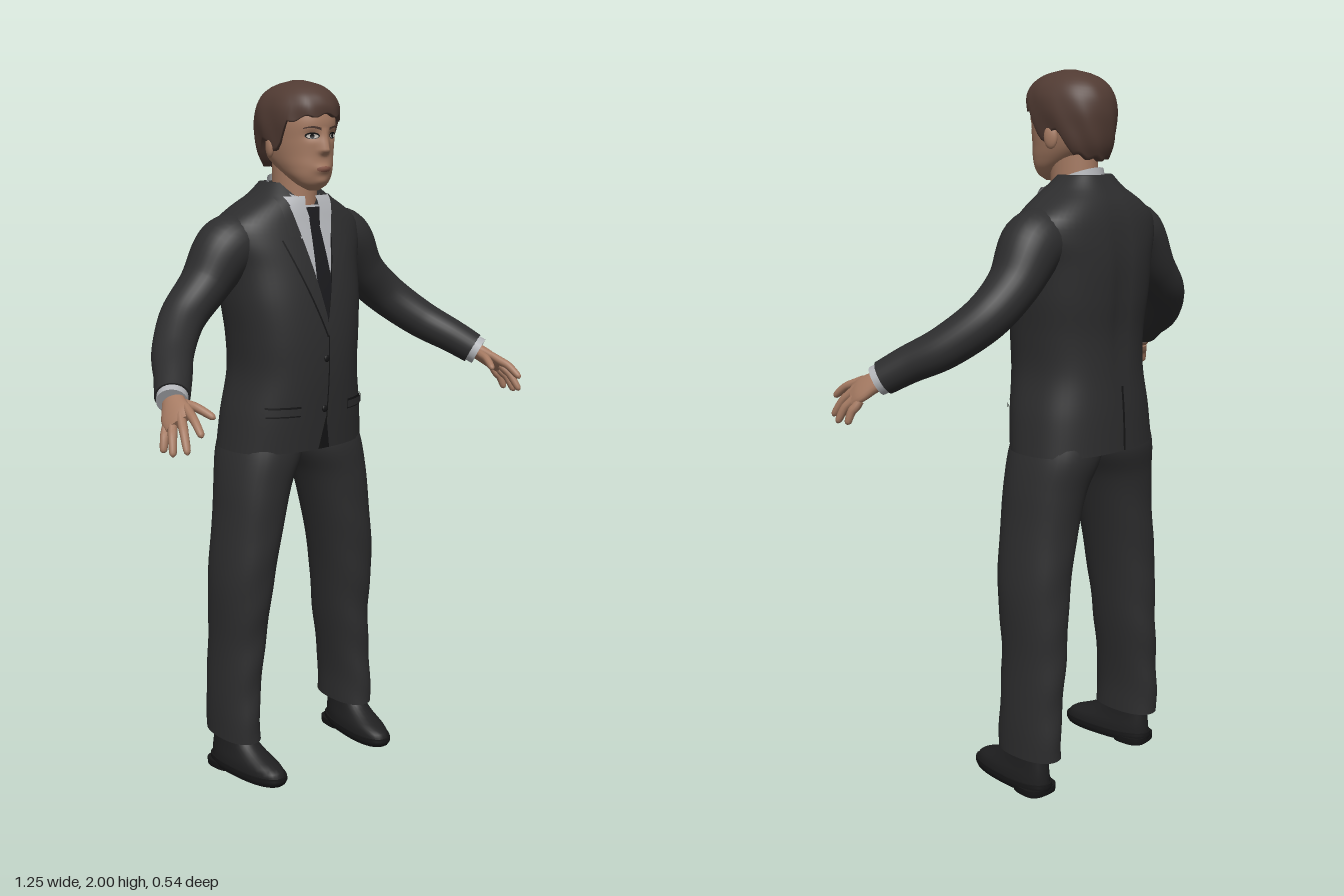
import * as THREE from 'three';

const { sin, cos, abs, exp, sign, pow, PI, max, min } = Math;
const lerp = (a, b, t) => a + (b - a) * t;
const paint = (name, color, side = THREE.FrontSide) =>
  Object.assign(new THREE.MeshStandardMaterial({ color, side }), { name });

// Smooth interpolation through rows whose first value is the key
function spline(rows) {
  const n = rows[0].length - 1;
  const f = new THREE.CubicInterpolant(rows.map(r => r[0]), rows.flatMap(r => r.slice(1)), n);
  return t => [...f.evaluate(t)];
}

// Surface from fn(u, v); wrapped surfaces are closed around u and capped at both ends
function grid(fn, nu, nv, wrap = true) {
  const pos = [], idx = [], cols = wrap ? nu : nu + 1;
  for (let j = 0; j <= nv; j++) for (let i = 0; i < cols; i++) pos.push(...fn(i / nu, j / nv));
  for (let j = 0; j < nv; j++) for (let i = 0; i < nu; i++) {
    const a = j * cols + i, b = j * cols + (i + 1) % cols;
    idx.push(a, b, a + cols, b, b + cols, a + cols);
  }
  if (wrap) for (const end of [0, 1]) {
    const base = pos.length / 3, mid = [0, 0, 0];
    for (let i = 0; i < nu; i++) {
      const p = fn(i / nu, end);
      pos.push(...p);
      p.forEach((c, k) => { mid[k] += c / nu; });
      const a = base + i, b = base + (i + 1) % nu;
      idx.push(base + nu, end ? a : b, end ? b : a);
    }
    pos.push(...mid);
  }
  const g = new THREE.BufferGeometry();
  g.setAttribute('position', new THREE.Float32BufferAttribute(pos, 3));
  g.setIndex(idx);
  g.computeVertexNormals();
  return g;
}

// Upright form from rows [y, centreX, halfWidth, zFront, zBack]; bump(x, y, facing) adds depth
function column(rows, n = 2.3, bump = () => 0) {
  const at = spline(rows), y0 = rows[0][0], y1 = rows[rows.length - 1][0];
  const sq = c => sign(c) * pow(abs(c), 2 / n);
  const point = (th, y) => {
    const [cx, hw, zf, zb] = at(y), s = -sin(th), x = cx + hw * sq(cos(th));
    return [x, y, (zf + zb) / 2 + (zf - zb) / 2 * sq(s) + bump(x, y, s)];
  };
  const faceZ = (x, y, side) => {
    const [cx, hw, zf, zb] = at(y), k = min(1, abs(x - cx) / hw);
    return (zf + zb) / 2 + side * (zf - zb) / 2 * pow(1 - pow(k, n), 1 / n) + bump(x, y, side);
  };
  const solid = (nu, nv) => grid((u, v) => point(u * 2 * PI, lerp(y0, y1, v)), nu, nv);
  return { point, faceZ, solid };
}

// Thin panel lying on a column between two edge curves
const panel = (col, y0, y1, left, right, off, side = 1) => grid((u, v) => {
  const y = lerp(y0, y1, v), x = side > 0 ? lerp(left(y), right(y), u) : lerp(right(y), left(y), u);
  return [x, y, col.faceZ(x, y, side) + side * off];
}, 10, 16, false);
const oval = (col, cx, cy, w, h, off) => {
  const half = y => w * Math.sqrt(max(0, 1 - ((y - cy) / h) ** 2));
  return panel(col, cy - h, cy + h, y => cx - half(y), y => cx + half(y), off);
};

// Limb through rows [x, y, z, width, thickness], widest along the across direction
function limb(rows, across, nu = 20, nv = 24) {
  const at = spline(rows.map((r, i) => [i, ...r])), last = rows.length - 1;
  const vec = t => new THREE.Vector3(...at(t).slice(0, 3));
  return grid((u, v) => {
    const t = v * last, [, , , a, b] = at(t);
    const T = vec(min(last, t + 0.02)).sub(vec(max(0, t - 0.02))).normalize();
    const U = new THREE.Vector3(...across).addScaledVector(T, -T.dot(new THREE.Vector3(...across))).normalize();
    const V = T.clone().cross(U);
    return vec(t).addScaledVector(U, a * cos(u * 2 * PI)).addScaledVector(V, b * sin(u * 2 * PI)).toArray();
  }, nu, nv);
}

function mirrored(g) {
  const m = g.clone().scale(-1, 1, 1), ix = m.index.array;
  for (let i = 0; i < ix.length; i += 3) [ix[i], ix[i + 1]] = [ix[i + 1], ix[i]];
  m.computeVertexNormals();
  return m;
}

export function createModel() {
  const root = new THREE.Group();
  root.name = 'manInSuit';
  const suit = paint('suitCloth', 0x2d2d2e), seam = paint('darkSeam', 0x151516);
  const shirt = paint('shirtCloth', 0xb2b4b8, THREE.DoubleSide), tie = paint('tieCloth', 0x1a1a1d);
  const skin = paint('skin', 0xa67b63), hair = paint('hair', 0x513b33);
  const leather = paint('shoeLeather', 0x1f1f20), white = paint('eyeWhite', 0xc8c0b8);
  const lip = paint('lips', 0x8a5a4b);
  const add = (name, g, mat) => {
    const m = new THREE.Mesh(g, mat);
    m.name = name;
    root.add(m);
  };
  const pair = (name, g, mat) => { add(name + 'Left', g, mat); add(name + 'Right', mirrored(g), mat); };

  // Jacket body with a shallow crease down the spine
  const torso = column([
    [0.98, 0, 0.225, 0.045, -0.266], [1.08, 0, 0.212, 0.056, -0.262], [1.2, 0, 0.19, 0.066, -0.254],
    [1.3, 0, 0.195, 0.066, -0.252], [1.4, 0, 0.207, 0.056, -0.26], [1.5, 0, 0.215, 0.036, -0.262],
    [1.57, 0, 0.232, 0.016, -0.254], [1.62, 0, 0.222, 0, -0.243], [1.66, 0, 0.168, -0.012, -0.227],
    [1.69, 0, 0.115, -0.025, -0.207], [1.725, 0, 0.075, -0.055, -0.185]], 2.4,
  (x, y, s) => s < 0 ? 0.011 * exp(-((x / 0.025) ** 2)) * exp(-(((y - 1.42) / 0.2) ** 2)) : 0);
  add('jacketBody', torso.solid(56, 56), suit);

  // Shirt front, tie, lapels and collar flaps
  const vee = y => max(0, (y - 1.35) * 0.23);
  add('shirtFront', panel(torso, 1.35, 1.665, y => -vee(y), vee, 0.003), shirt);
  const tieHalf = y => min(vee(y), lerp(0.03, 0.016, (y - 1.4) / 0.22));
  add('tieBlade', panel(torso, 1.35, 1.63, y => -tieHalf(y), tieHalf, 0.007), tie);
  add('tieKnot', panel(torso, 1.61, 1.66, y => -lerp(0.013, 0.024, (y - 1.61) / 0.05),
    y => lerp(0.013, 0.024, (y - 1.61) / 0.05), 0.013), tie);
  const lapelEdge = y => y < 1.58 ? lerp(0.002, 0.115, (y - 1.31) / 0.27) : lerp(0.092, 0.1, (y - 1.58) / 0.11);
  pair('lapelShadow', panel(torso, 1.305, 1.575, vee, y => lapelEdge(y) + 0.003, 0.005), seam);
  pair('lapel', panel(torso, 1.31, 1.578, vee, lapelEdge, 0.009), suit);
  pair('lapelCollar', panel(torso, 1.584, 1.69, vee, lapelEdge, 0.009), suit);
  pair('collarFlap', panel(torso, 1.585, 1.69, y => lerp(0.042, 0.018, (y - 1.585) / 0.105),
    y => lerp(0.046, 0.08, (y - 1.585) / 0.105), 0.0135), shirt);
  add('shirtCollar', grid((u, v) => {
    const a = lerp(0.4, 2 * PI - 0.4, u), r = 1.12 - 0.12 * v;
    return [0.068 * r * sin(a), 1.715 - 0.03 * cos(a) - 0.055 * (1 - v), -0.086 + 0.08 * r * cos(a)];
  }, 40, 4, false), shirt);

  // Closure, buttons, hem opening, pockets and back vent
  add('frontClosure', panel(torso, 1.06, 1.32, () => 0.002, () => 0.006, 0.003), seam);
  add('hemOpening', panel(torso, 0.981, 1.07, y => -(1.07 - y) * 0.2, y => 0.004 + (1.07 - y) * 0.2, 0.003), seam);
  for (const y of [1.1, 1.245])
    add('button', new THREE.SphereGeometry(0.01, 12, 8).scale(1, 1, 0.4).translate(-0.006, y, torso.faceZ(0, y, 1) + 0.004), seam);
  pair('pocketWelt', panel(torso, 1.085, 1.115, () => 0.085, () => 0.175, 0.004), seam);
  pair('pocketFlap', panel(torso, 1.09, 1.11, () => 0.083, () => 0.177, 0.008), suit);
  add('backVent', panel(torso, 0.981, 1.16, () => -0.004, () => 0.004, 0.003, -1), seam);

  // Sleeves and shirt cuffs
  pair('sleeve', limb([
    [0.13, 1.575, -0.12, 0.07, 0.085], [0.21, 1.548, -0.12, 0.088, 0.088], [0.285, 1.455, -0.122, 0.068, 0.074],
    [0.37, 1.375, -0.105, 0.062, 0.064], [0.45, 1.3, -0.035, 0.056, 0.058], [0.505, 1.252, 0.045, 0.05, 0.051],
    [0.545, 1.215, 0.1, 0.046, 0.047]], [1, 1, 0], 28, 48), suit);
  pair('shirtCuff', limb([[0.525, 1.233, 0.075, 0.04, 0.04], [0.54, 1.22, 0.094, 0.041, 0.041],
    [0.556, 1.206, 0.115, 0.041, 0.041]], [1, 1, 0]), shirt);

  // Hands
  const across = [-0.6, 0.6, 0.54];
  pair('palm', limb([[0.54, 1.218, 0.092, 0.028, 0.022], [0.558, 1.2, 0.125, 0.035, 0.021],
    [0.573, 1.18, 0.157, 0.044, 0.018], [0.583, 1.165, 0.182, 0.038, 0.011]], across), skin);
  const fingers = {
    indexFinger: [[0.555, 1.195, 0.185], [0.573, 1.145, 0.27]], middleFinger: [[0.574, 1.177, 0.182], [0.6, 1.1, 0.245]],
    ringFinger: [[0.59, 1.158, 0.166], [0.618, 1.09, 0.207]], littleFinger: [[0.596, 1.146, 0.145], [0.619, 1.092, 0.165]],
    thumb: [[0.54, 1.205, 0.13], [0.502, 1.174, 0.226]],
  };
  for (const [name, [a, b]] of Object.entries(fingers)) {
    const along = (t, r, lift = 0) => [...a.map((c, i) => lerp(c, b[i], t) + [0.3, 1, 0.3][i] * lift), r, r];
    pair(name, limb([along(-0.15, 0.011), along(0.2, 0.0125, 0.003), along(0.5, 0.0115, 0.007),
      along(0.9, 0.0095, 0.002), along(1, 0.003)], across, 10, 16), skin);
  }

  // Trouser legs with soft folds
  pair('trouserLeg', column([
    [0.108, 0.217, 0.056, 0, -0.217], [0.2, 0.217, 0.057, -0.006, -0.215], [0.4, 0.2, 0.067, -0.006, -0.215],
    [0.6, 0.188, 0.083, 0.012, -0.212], [0.8, 0.156, 0.095, 0.02, -0.217], [0.88, 0.14, 0.103, 0.022, -0.226],
    [0.97, 0.112, 0.114, 0.025, -0.245], [1.05, 0.105, 0.095, 0.01, -0.235]], 2.2,
  (x, y, s) => 0.003 * s * sin(y * 40 + x * 30) * max(0, 1 - y)).solid(36, 56), suit);

  // Shoes with sole and heel
  const shoe = (rows, n) => column(rows, n).solid(32, 12).rotateY(-0.1).translate(0.214, 0, -0.04);
  pair('shoeUpper', shoe([[0.026, 0, 0.053, 0.144, -0.144], [0.05, 0, 0.052, 0.13, -0.143],
    [0.075, 0, 0.046, 0.07, -0.14], [0.1, 0, 0.042, 0.025, -0.135], [0.14, 0, 0.04, 0, -0.13]], 2.3), leather);
  pair('shoeSole', shoe([[0.008, 0, 0.055, 0.142, -0.147], [0.02, 0, 0.058, 0.149, -0.15],
    [0.032, 0, 0.057, 0.148, -0.149]], 2.4), seam);
  pair('shoeHeel', shoe([[0, 0, 0.052, -0.04, -0.147], [0.01, 0, 0.053, -0.04, -0.148], [0.02, 0, 0.053, -0.04, -0.148]], 3), seam);

  // Neck and head, with nose, lips, chin and eye sockets shaped in
  add('neck', column([[1.6, 0, 0.06, -0.012, -0.15], [1.7, 0, 0.058, -0.01, -0.15], [1.8, 0, 0.058, -0.005, -0.15]], 2)
    .solid(28, 8), skin);
  const bell = (x, y, cx, cy, w, h) => exp(-(((x - cx) / w) ** 2) - ((y - cy) / h) ** 2);
  const head = column([
    [1.706, 0, 0.015, 0.018, -0.01], [1.72, 0, 0.04, 0.032, -0.035], [1.74, 0, 0.057, 0.042, -0.07],
    [1.77, 0, 0.07, 0.048, -0.125], [1.8, 0, 0.078, 0.048, -0.165], [1.84, 0, 0.084, 0.05, -0.185],
    [1.9, 0, 0.086, 0.052, -0.188], [1.95, 0, 0.07, 0.03, -0.16], [1.985, 0, 0.03, -0.02, -0.11]], 2.25,
  (x, y, s) => {
    if (s <= 0) return 0;
    const ridge = y > 1.815 ? max(0, 1 - (y - 1.815) / 0.06) : exp(-(((y - 1.815) / 0.01) ** 2));
    return s * (0.023 * ridge * exp(-((x / 0.014) ** 2)) + 0.008 * bell(x, y, 0, 1.765, 0.024, 0.012)
      + 0.005 * bell(x, y, 0, 1.73, 0.022, 0.012) - 0.008 * bell(abs(x), y, 0.035, 1.855, 0.018, 0.013));
  });
  add('head', head.solid(80, 72), skin);
  pair('ear', new THREE.SphereGeometry(1, 16, 12).scale(0.011, 0.032, 0.02).rotateY(0.3).translate(0.09, 1.825, -0.075), skin);

  // Face details
  pair('eyeOutline', oval(head, 0.035, 1.854, 0.018, 0.009, 0.003), seam);
  pair('eyeWhite', oval(head, 0.035, 1.853, 0.015, 0.006, 0.004), white);
  pair('iris', oval(head, 0.035, 1.853, 0.006, 0.006, 0.005), seam);
  pair('eyebrow', grid((u, v) => {
    const x = lerp(0.014, 0.058, u), y = 1.868 + 0.007 * sin(u * PI * 0.8) + 0.007 * v * (1 - 0.6 * u);
    return [x, y, head.faceZ(x, y, 1) + 0.003];
  }, 10, 3, false), hair);
  add('lips', oval(head, 0, 1.765, 0.025, 0.008, 0.002), lip);

  // Hair shell: short fringe, sideburns, clear of the ears, longer at the nape
  const hairForm = column([
    [1.765, 0, 0.072, 0, -0.178], [1.8, 0, 0.089, 0.03, -0.192], [1.85, 0, 0.1, 0.052, -0.199],
    [1.9, 0, 0.103, 0.062, -0.2], [1.94, 0, 0.095, 0.06, -0.19], [1.97, 0, 0.075, 0.038, -0.166],
    [1.99, 0, 0.045, 0, -0.125], [2, 0, 0.012, -0.045, -0.08]], 2.2);
  const hairline = [[-1, 1.765], [-0.5, 1.78], [-0.2, 1.84], [0.1, 1.835], [0.2, 1.81], [0.35, 1.83], [0.5, 1.89], [1.01, 1.908]];
  add('hair', grid((u, v) => {
    const th = u * 2 * PI, s = -sin(th), k = hairline.findIndex(h => h[0] > s);
    const [[s0, a], [s1, b]] = [hairline[max(0, k - 1)], hairline[max(1, k)]];
    const low = lerp(a, b, (s - s0) / (s1 - s0)) + 0.005 * sin(11 * th);
    const y = lerp(low, 2, max(0, (v - 0.04) / 0.96)), [x, , z] = hairForm.point(th, y);
    const r = (v < 0.03 ? 0.82 : 1) + 0.02 * sin(9 * th + 40 * y) * (1 - v);
    return [x * r, y, -0.07 + (z + 0.07) * r];
  }, 72, 25), hair);
  return root;
}
